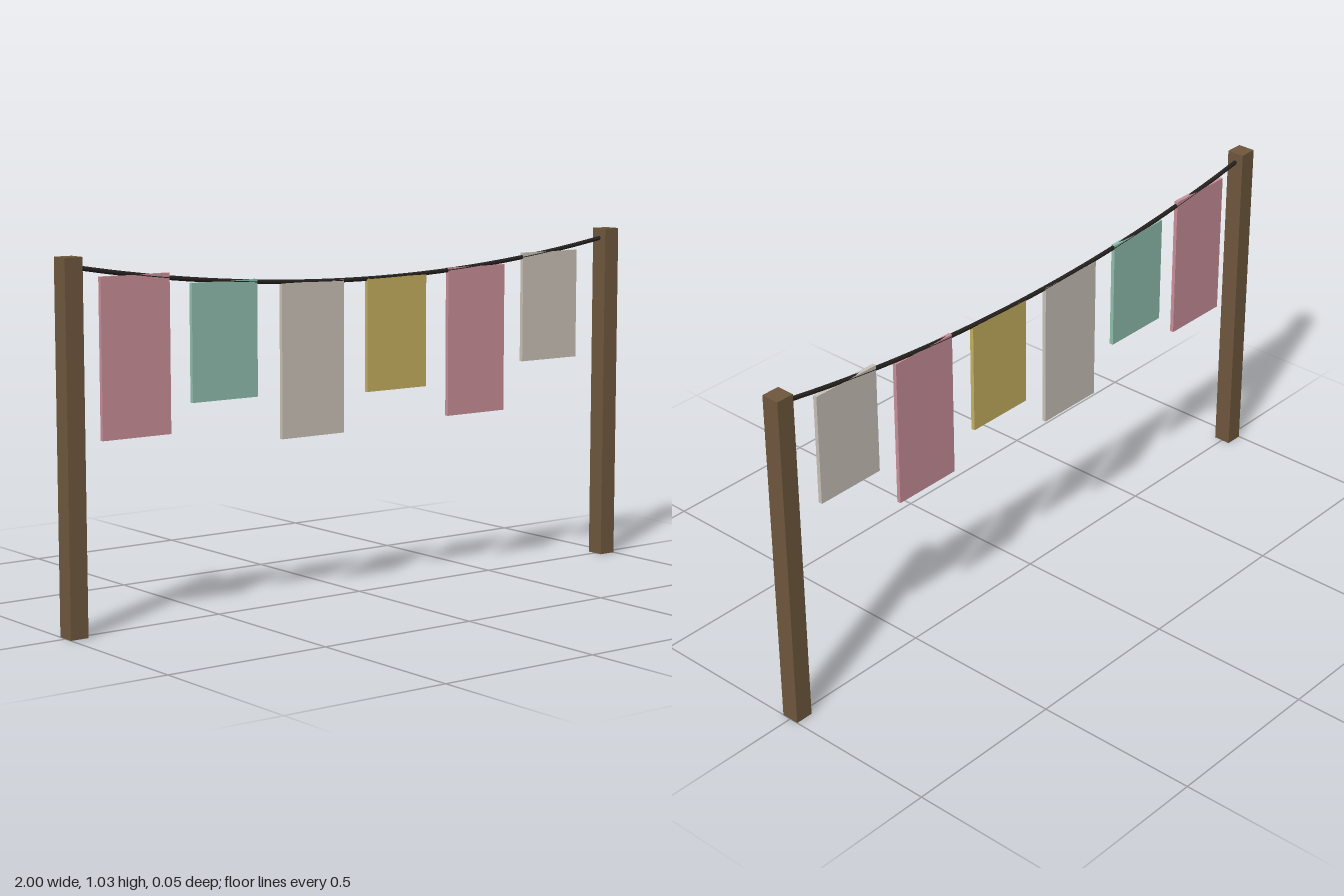
import * as THREE from 'three';

const mat = (name, color) => {
  const m = new THREE.MeshStandardMaterial({ color });
  m.name = name;
  return m;
};

export function createModel() {
  const group = new THREE.Group();
  const wood = mat('brown wood', 0x6f583d);
  const cord = mat('dark cord', 0x25211f);
  const pink = mat('faded pink', 0xc98e98);
  const green = mat('sea green', 0x90bfae);
  const linen = mat('pale linen', 0xc9c1b7);
  const yellow = mat('mustard yellow', 0xc6b060);

  const add = (name, geometry, material, x = 0, y = 0) => {
    const mesh = new THREE.Mesh(geometry, material);
    mesh.name = name;
    mesh.position.set(x, y, 0);
    group.add(mesh);
  };

  // Posts
  const postSize = 0.055, postHeight = 1.03;
  for (const [name, side] of [['leftPost', 1], ['rightPost', -1]]) {
    add(name, new THREE.BoxGeometry(postSize, postHeight, postSize), wood,
      side * (1 - postSize / 2), postHeight / 2);
  }

  // Sagging line between the posts
  const half = 0.972;
  const lineY = (x) => 0.92 + 0.084 * (x / half) ** 2;
  const points = [];
  for (let i = 0; i <= 16; i++) {
    const x = -half + (2 * half * i) / 16;
    points.push(new THREE.Vector3(x, lineY(x), 0));
  }
  add('line', new THREE.TubeGeometry(new THREE.CatmullRomCurve3(points), 32, 0.0065, 8), cord);

  // Hanging cloths, alternately long and short
  const cloths = [
    [-0.767, pink], [-0.475, green], [-0.17, linen],
    [0.135, yellow], [0.44, pink], [0.735, linen],
  ];
  cloths.forEach(([x, material], i) => {
    const height = i % 2 ? 0.332 : 0.444;
    add(`cloth${i + 1}`, new THREE.BoxGeometry(0.22, height, 0.012), material,
      x, lineY(x) - height / 2);
  });

  return group;
}
